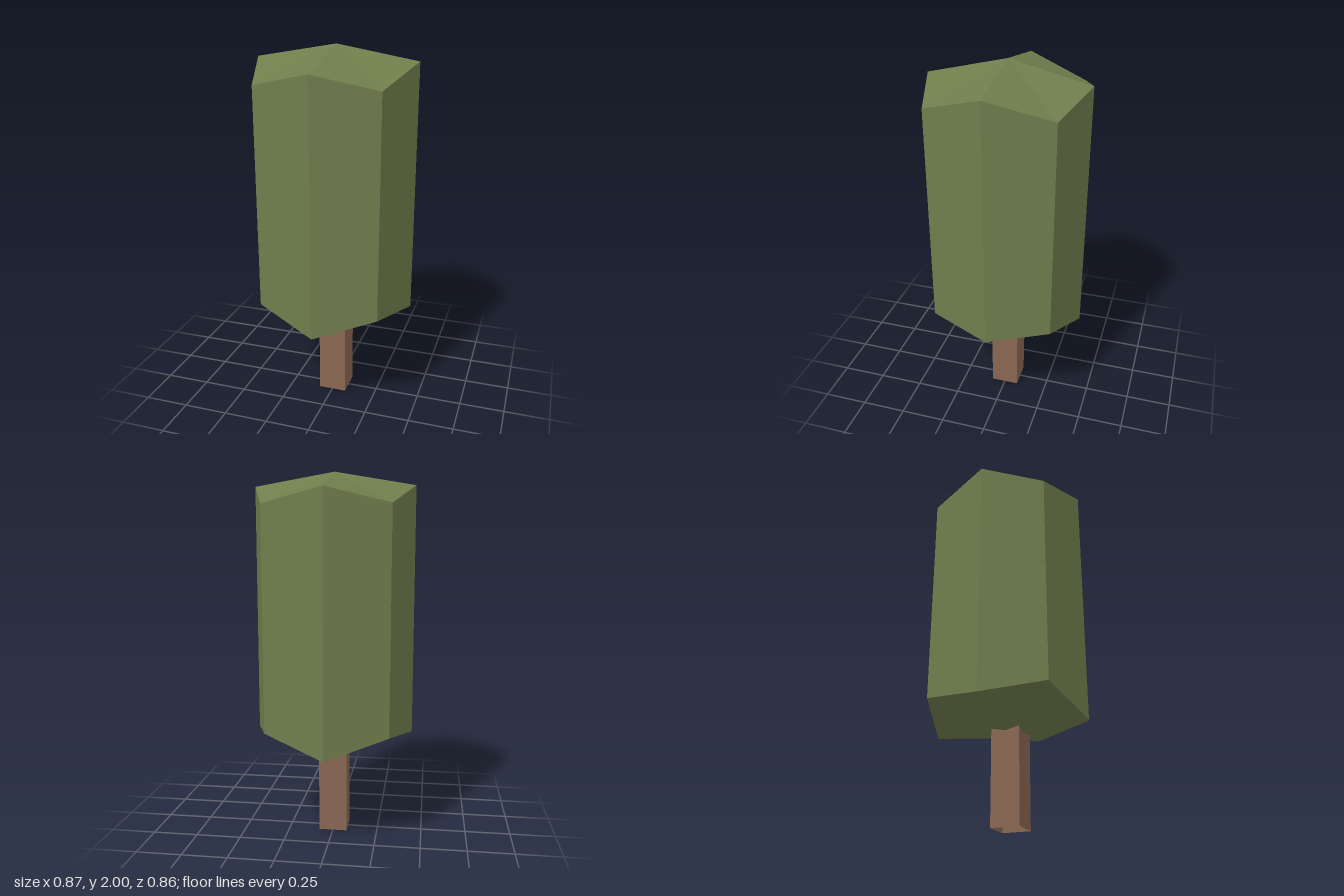
import * as THREE from 'three';

export function createModel() {
  const group = new THREE.Group();

  const leafGreen = new THREE.MeshStandardMaterial({ color: 0x6f7d4c, flatShading: true });
  leafGreen.name = 'leafGreen';
  const barkBrown = new THREE.MeshStandardMaterial({ color: 0x8a6753, flatShading: true, side: THREE.DoubleSide });
  barkBrown.name = 'barkBrown';

  // Outline corners of the crown: x, z, lower height, upper height
  const side = [0.437, 0, 0.58, 1.925];
  const corner = [0.33, 0.33, 0.63, 1.82];
  const front = [0, 0.43, 0.52, 1.897];
  const place = ([x, z, low, high], sx, sz) => ({
    low: [x * sx, low, z * sz],
    high: [x * sx, high, z * sz],
  });
  const ring = [
    place(side, 1, 1), place(corner, 1, 1), place(front, 1, 1), place(corner, -1, 1),
    place(side, -1, 1), place(corner, -1, -1), place(front, 1, -1), place(corner, 1, -1),
  ];
  const peak = [0, 2, 0];
  const base = [0, 0.475, 0];

  // Crown: fan on top, upright walls, fan underneath
  const points = [];
  ring.forEach((a, i) => {
    const b = ring[(i + 1) % ring.length];
    points.push(...peak, ...b.high, ...a.high);
    points.push(...a.low, ...a.high, ...b.high);
    points.push(...a.low, ...b.high, ...b.low);
    points.push(...base, ...a.low, ...b.low);
  });
  const crownGeometry = new THREE.BufferGeometry();
  crownGeometry.setAttribute('position', new THREE.Float32BufferAttribute(points, 3));
  crownGeometry.computeVertexNormals();
  const crown = new THREE.Mesh(crownGeometry, leafGreen);
  crown.name = 'crown';
  group.add(crown);

  // Trunk: open square tube reaching into the crown
  const height = 0.54;
  const trunkGeometry = new THREE.CylinderGeometry(0.078 * Math.SQRT2, 0.078 * Math.SQRT2, height, 4, 1, true);
  trunkGeometry.rotateY(Math.PI / 4);
  trunkGeometry.translate(0, height / 2, 0);
  const trunk = new THREE.Mesh(trunkGeometry, barkBrown);
  trunk.name = 'trunk';
  group.add(trunk);

  return group;
}
